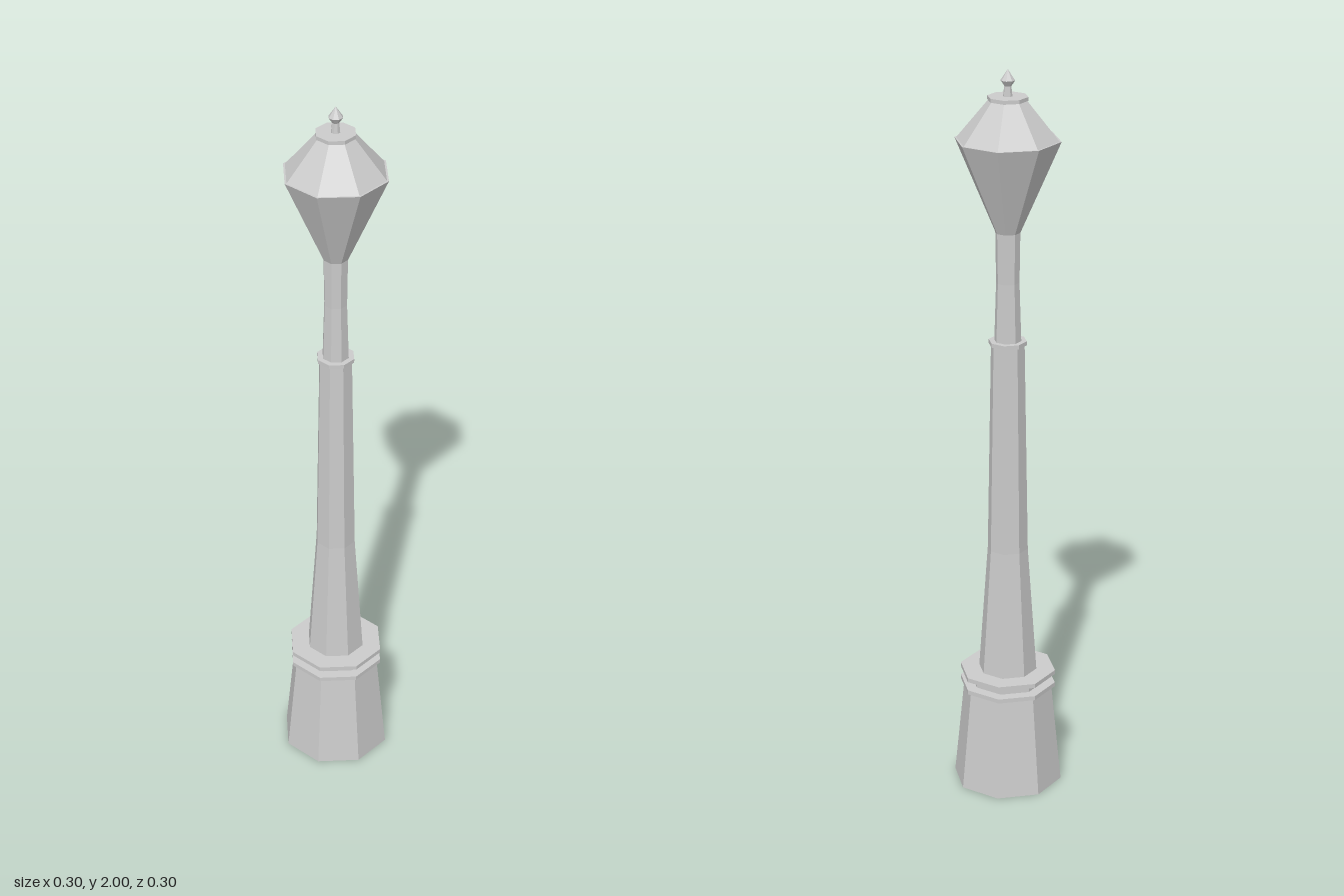
import * as THREE from 'three';

const SIDES = 8;

export function createModel() {
  const group = new THREE.Group();
  const material = new THREE.MeshStandardMaterial({ color: 0xcccccc, flatShading: true });

  // Octagonal solid from [radius, height] pairs listed bottom to top, closed at both ends
  function turned(name, profile) {
    const first = profile[0], last = profile[profile.length - 1];
    const closed = [[0, first[1]], ...profile, [0, last[1]]];
    const points = closed.map(([r, y]) => new THREE.Vector2(r, y));
    const mesh = new THREE.Mesh(new THREE.LatheGeometry(points, SIDES), material);
    mesh.name = name;
    group.add(mesh);
  }

  // Tapered plinth with two thin flanges
  turned('plinth', [[0.15, 0], [0.122, 0.283]]);
  turned('lowerFlange', [[0.132, 0.283], [0.132, 0.295]]);
  turned('flangeNeck', [[0.102, 0.295], [0.102, 0.32]]);
  turned('upperFlange', [[0.132, 0.32], [0.132, 0.332]]);

  // Post: flared foot, long shaft, collar and slim neck
  turned('shaft', [[0.08, 0.332], [0.055, 0.69], [0.045, 1.27]]);
  turned('collar', [[0.051, 1.27], [0.051, 1.281]]);
  turned('neck', [[0.036, 1.281], [0.031, 1.44], [0.033, 1.575]]);

  // Lantern: flaring glass body with a narrow rim, sloped roof and cap
  turned('lanternBody', [[0.033, 1.575], [0.139, 1.82]]);
  turned('roof', [[0.134, 1.82], [0.05, 1.922]]);
  turned('roofCap', [[0.053, 1.922], [0.053, 1.932]]);

  // Finial: stem with a pointed bud
  turned('finialStem', [[0.012, 1.932], [0.009, 1.962]]);
  turned('finialBud', [[0.009, 1.958], [0.019, 1.973], [0.001, 2]]);

  return group;
}
